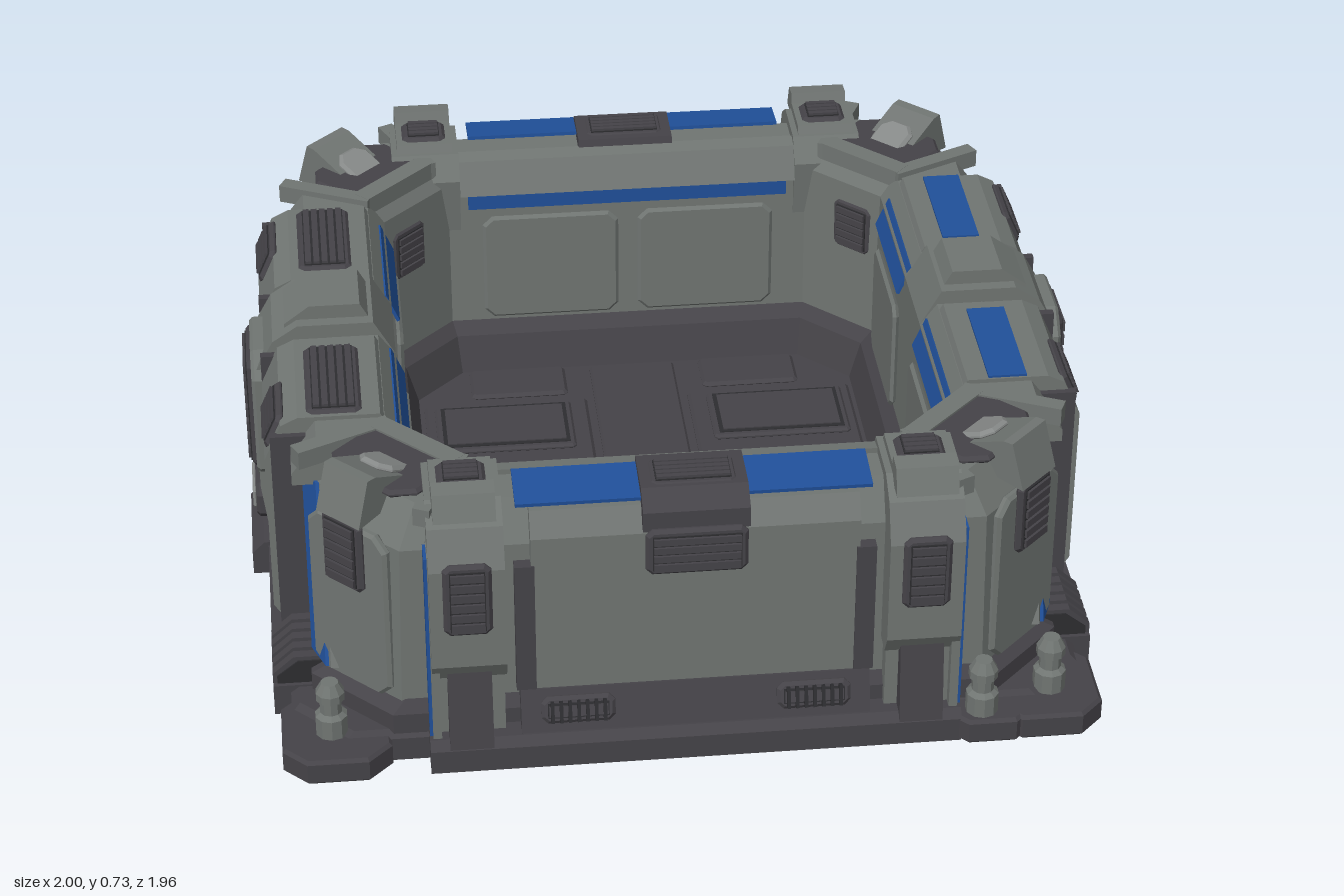
import * as THREE from 'three';

const mat = (name, color) => {
  const m = new THREE.MeshStandardMaterial({ color });
  m.name = name;
  return m;
};
const grey = mat('armour grey', 0x707572);
const pale = mat('worn light grey', 0x868988);
const dark = mat('dark metal', 0x454348);
const black = mat('recess black', 0x2d2d30);
const blue = mat('blue trim', 0x20509a);

function add(parent, name, geo, material, x = 0, y = 0, z = 0, rx = 0, ry = 0, rz = 0) {
  const m = new THREE.Mesh(geo, material);
  m.name = name;
  m.position.set(x, y, z);
  m.rotation.set(rx, ry, rz);
  parent.add(m);
  return m;
}
const box = (w, h, d) => new THREE.BoxGeometry(w, h, d);
const shape = pts => new THREE.Shape(pts.map(p => new THREE.Vector2(...p)));

// Cut-corner plate with sloped edges, from z = 0 to z = d
function plate(w, h, d, c, bevel = 0.008) {
  const a = w / 2 - bevel, b = h / 2 - bevel;
  const outline = shape([[a, -b + c], [a, b - c], [a - c, b], [-a + c, b], [-a, b - c], [-a, -b + c], [-a + c, -b], [a - c, -b]]);
  return new THREE.ExtrudeGeometry(outline,
    { depth: d - 2 * bevel, bevelEnabled: true, bevelSegments: 1, bevelSize: bevel, bevelThickness: bevel }).translate(0, 0, bevel);
}
// Profile of [z, y] points swept along x, centred
function sweep(pts, width) {
  return new THREE.ExtrudeGeometry(shape(pts), { depth: width, bevelEnabled: false }).translate(0, 0, -width / 2).rotateY(-Math.PI / 2);
}
// Octagonal rings [halfX, halfZ, cut, y] joined from first to last
function loft(rings) {
  const pos = [];
  const pts = rings.map(([a, b, c, y]) => [[a, b - c], [a, -b + c], [a - c, -b], [-a + c, -b], [-a, -b + c], [-a, b - c], [-a + c, b], [a - c, b]]
    .map(([x, z]) => [x, y, z]));
  for (let i = 0; i + 1 < pts.length; i++) {
    for (let j = 0; j < 8; j++) {
      const k = (j + 1) % 8;
      const A = pts[i][j], B = pts[i][k], C = pts[i + 1][k], D = pts[i + 1][j];
      pos.push(...A, ...B, ...C, ...A, ...C, ...D);
    }
  }
  const g = new THREE.BufferGeometry();
  g.setAttribute('position', new THREE.Float32BufferAttribute(pos, 3));
  g.computeVertexNormals();
  return g;
}
// Louvred vent facing +z
function vent(parent, name, w, h, n, x, y, z, rx = 0, ry = 0) {
  const g = new THREE.Group();
  g.name = name;
  g.position.set(x, y, z);
  g.rotation.set(rx, ry, 0);
  add(g, 'ventFrame', plate(w, h, 0.02, 0.01), dark);
  add(g, 'ventRecess', box(w - 0.03, h - 0.03, 0.006), black, 0, 0, 0.02);
  const step = (h - 0.03) / n;
  for (let i = 0; i < n; i++) add(g, 'louvre', box(w - 0.035, step * 0.72, 0.01), dark, 0, (i + 0.5) * step - (h - 0.03) / 2, 0.024);
  parent.add(g);
}

// Front or back wall, built facing +z
function endWall(blueZ, blueWidth) {
  const g = new THREE.Group();
  g.name = 'endWall';
  add(g, 'baseRail', sweep([[0.8, 0], [0.96, 0], [0.96, 0.06], [0.94, 0.08], [0.8, 0.08]], 1.22), dark);
  add(g, 'lowerStrip', sweep([[0.8, 0.08], [0.935, 0.08], [0.905, 0.18], [0.8, 0.18]], 0.8), dark);
  add(g, 'armourPanel', sweep([[0.8, 0.17], [0.9, 0.17], [0.9, 0.59], [0.865, 0.645], [0.8, 0.645]], 0.74), grey);
  add(g, 'topRail', sweep([[0.65, 0.58], [0.69, 0.66], [0.73, 0.668], [0.73, 0.6]], 0.86), grey);
  add(g, 'innerBlueStrip', box(0.82, 0.075, 0.008), blue, 0, 0.57, 0.67);
  add(g, 'topVentBridge', sweep([[0.71, 0.62], [0.73, 0.685], [0.86, 0.685], [0.91, 0.65], [0.91, 0.6]], 0.24), dark);
  vent(g, 'topVent', 0.2, 0.11, 5, 0, 0.668, 0.8, -Math.PI / 2);
  vent(g, 'faceVent', 0.23, 0.12, 4, 0, 0.55, 0.905);
  for (const s of [-1, 1]) {
    add(g, 'blueTopPlate', box(0.28, 0.009, blueWidth), blue, s * 0.26, 0.664, blueZ, 0.1);
    add(g, 'panelEdge', box(0.045, 0.34, 0.03), dark, s * 0.385, 0.35, 0.889);
    vent(g, 'baseVent', 0.17, 0.065, 1, s * 0.27, 0.13, 0.912, -0.29);
    for (let i = -3; i <= 3; i++) add(g, 'baseVentRib', box(0.008, 0.05, 0.012), black, s * 0.27 + i * 0.02, 0.138, 0.94, -0.29);
    for (const k of [-0.2, 0.2]) add(g, 'innerPanel', plate(0.35, 0.3, 0.016, 0.02), grey, k, 0.36, 0.675, 0, Math.PI);

    // Buttress with cap, vent and blue flank
    const x = s * 0.515;
    add(g, 'buttressLeg', sweep([[0.8, 0.05], [0.96, 0.05], [0.93, 0.27], [0.8, 0.27]], 0.1), dark, x);
    add(g, 'buttress', sweep([[0.7, 0.26], [0.92, 0.24], [0.95, 0.29], [0.95, 0.55], [0.91, 0.64], [0.85, 0.68], [0.7, 0.68], [0.66, 0.62]], 0.17), grey, x);
    add(g, 'buttressBack', box(0.16, 0.5, 0.12), grey, x, 0.32, 0.85);
    add(g, 'buttressCap', sweep([[0.7, 0.66], [0.72, 0.7], [0.84, 0.7], [0.85, 0.725], [0.895, 0.72], [0.92, 0.66]], 0.14), grey, x);
    vent(g, 'capVent', 0.11, 0.1, 4, x, 0.688, 0.785, -Math.PI / 2);
    vent(g, 'buttressVent', 0.11, 0.19, 6, x, 0.475, 0.94);
    add(g, 'blueFlank', box(0.008, 0.49, 0.06), blue, s * 0.605, 0.33, 0.9);
    add(g, 'flankFrame', box(0.02, 0.5, 0.1), grey, s * 0.592, 0.33, 0.885);
  }
  return g;
}

// Left or right wall, built facing +z
function sideWall(blueTop) {
  const g = new THREE.Group();
  g.name = 'sideWall';
  add(g, 'baseRail', box(1.4, 0.08, 0.16), dark, 0, 0.04, 0.88);
  add(g, 'baseStep', sweep([[0.85, 0], [1, 0], [1, 0.06], [0.97, 0.09], [0.85, 0.09]], 0.26), dark);
  add(g, 'lowerStrip', box(0.96, 0.06, 0.15), dark, 0, 0.1, 0.86);

  // Central pillar
  add(g, 'pillar', sweep([[0.66, 0.08], [0.95, 0.08], [0.97, 0.24], [0.97, 0.56], [0.92, 0.65], [0.86, 0.69], [0.68, 0.69], [0.63, 0.6], [0.62, 0.1]], 0.22), grey);
  add(g, 'pillarFrame', plate(0.26, 0.36, 0.065, 0.05), grey, 0, 0.43, 0.91);
  vent(g, 'pillarVent', 0.19, 0.3, 7, 0, 0.435, 0.965);
  add(g, 'hatchFrame', plate(0.17, 0.1, 0.03, 0.02), dark, 0, 0.17, 0.953);
  add(g, 'hatch', plate(0.13, 0.06, 0.009, 0.008, 0.003), pale, 0, 0.175, 0.982);
  add(g, 'pillarCap', sweep([[0.68, 0.67], [0.71, 0.725], [0.83, 0.725], [0.89, 0.68], [0.89, 0.65]], 0.16), grey);
  for (const s of [-1, 1]) {
    // Armour panels either side of the pillar
    add(g, 'armourPanel', sweep([[0.78, 0.12], [0.93, 0.12], [0.95, 0.15], [0.95, 0.56], [0.91, 0.65], [0.87, 0.67], [0.68, 0.67], [0.64, 0.6], [0.64, 0.5], [0.78, 0.5]], 0.34), grey, s * 0.305);
    add(g, 'panelSeam', box(0.02, 0.5, 0.06), dark, s * 0.132, 0.38, 0.92);
    add(g, 'panelEnd', box(0.02, 0.54, 0.1), dark, s * 0.48, 0.36, 0.885);
    vent(g, 'shoulderVent', 0.17, 0.095, 4, s * 0.37, 0.612, 0.915, -0.42);
    if (blueTop) add(g, 'blueTopPlate', box(0.3, 0.009, 0.09), blue, s * 0.32, 0.671, 0.775);
    else vent(g, 'topVent', 0.29, 0.13, 5, s * 0.32, 0.657, 0.785, -Math.PI / 2);
    add(g, 'innerBlueStrip', box(0.34, 0.08, 0.008), blue, s * 0.29, 0.585, 0.63, 0.4);
    add(g, 'innerPanel', plate(0.32, 0.3, 0.016, 0.02), grey, s * 0.27, 0.36, 0.62, 0, Math.PI);

    // Slanted blue stripe turned towards the corner, on a grey frame
    const slant = (a, b, d, z) => new THREE.ExtrudeGeometry(
      shape([[0.5 + a, 0.56], [0.5 + b, 0.56], [0.66 + b, 0.16], [0.66 + a, 0.16]].map(p => [s * p[0], p[1]])),
      { depth: d, bevelEnabled: false })
      .applyMatrix4(new THREE.Matrix4().set(1, 0, 0, 0, 0, 1, 0, 0, -0.4 * s, -0.16, 1, 0.29 + z, 0, 0, 0, 1));
    add(g, 'stripeFrame', slant(-0.015, 0.09, 0.04, 0.82), grey);
    add(g, 'blueStripe', slant(0.005, 0.08, 0.009, 0.859), blue);
    add(g, 'recess', box(0.16, 0.38, 0.02), dark, s * 0.56, 0.33, 0.822);
    add(g, 'shoulderLink', sweep([[0.68, 0.55], [0.89, 0.55], [0.89, 0.58], [0.83, 0.66], [0.68, 0.66]], 0.1), grey, s * 0.52);
    add(g, 'ribbedFoot', sweep([[0.8, 0.07], [0.95, 0.07], [0.95, 0.1], [0.9, 0.14], [0.8, 0.14]], 0.18), black, s * 0.6);
    for (let i = -2; i <= 2; i++) add(g, 'footRib', sweep([[0.8, 0.07], [0.96, 0.07], [0.96, 0.105], [0.91, 0.15], [0.8, 0.15]], 0.024), dark, s * 0.6 + i * 0.037);
  }
  return g;
}

// Corner tower details, built facing +z along the diagonal
function corner() {
  const g = new THREE.Group();
  g.name = 'corner';
  add(g, 'facetPanel', plate(0.24, 0.44, 0.025, 0.03), grey, 0, 0.36, 1.075);
  vent(g, 'cornerVent', 0.12, 0.19, 6, 0, 0.51, 1.095);
  add(g, 'cornerDeck', plate(0.26, 0.2, 0.02, 0.04), dark, 0, 0.65, 0.94, -Math.PI / 2);
  add(g, 'cornerHump', sweep([[0.88, 0.63], [1.06, 0.71], [1.085, 0.712], [1.12, 0.6]], 0.13), grey);
  add(g, 'cornerPlate', plate(0.1, 0.12, 0.02, 0.02), pale, 0, 0.66, 0.96, -Math.PI / 2 - 0.42);
  add(g, 'innerRim', box(0.24, 0.05, 0.05), grey, 0, 0.65, 0.85);
  for (const s of [-1, 1]) add(g, 'deckRim', box(0.04, 0.045, 0.24), grey, s * 0.15, 0.652, 0.94, 0, s * 0.35);
  vent(g, 'innerVent', 0.12, 0.14, 5, 0, 0.48, 0.82, 0, Math.PI);
  return g;
}

// Bolt post standing on a foot
const boltProfile = [[0.038, 0], [0.038, 0.05], [0.026, 0.06], [0.026, 0.09], [0.034, 0.095], [0.034, 0.115], [0.02, 0.14], [0, 0.14]]
  .map(p => new THREE.Vector2(...p));
function bolt(parent, x, z) {
  const geo = new THREE.LatheGeometry(boltProfile, 10).toNonIndexed();
  geo.computeVertexNormals();
  add(parent, 'boltPost', geo, grey, x, 0.065, z);
}

export function createModel() {
  const model = new THREE.Group();
  model.name = 'fortifiedEnclosure';

  // Base and ring wall
  add(model, 'base', loft([[0, 0, 0, 0], [0.92, 0.9, 0.12, 0], [0.92, 0.9, 0.12, 0.06], [0.9, 0.88, 0.12, 0.075], [0, 0, 0, 0.075]]), dark);
  add(model, 'ringWall', loft([[0.83, 0.87, 0.16, 0.06], [0.82, 0.87, 0.16, 0.56], [0.78, 0.82, 0.16, 0.655],
    [0.67, 0.7, 0.18, 0.655], [0.63, 0.68, 0.17, 0.6], [0.62, 0.67, 0.16, 0.2]]), grey);
  add(model, 'innerSkirt', loft([[0.62, 0.67, 0.16, 0.2], [0.59, 0.64, 0.14, 0.17], [0.56, 0.61, 0.12, 0.07]]), dark);
  add(model, 'cornerFootBand', loft([[0.87, 0.89, 0.18, 0.06], [0.87, 0.89, 0.18, 0.12], [0.82, 0.87, 0.16, 0.15]]), dark);

  // Floor plates and grip pads
  for (const sx of [-1, 1]) {
    add(model, 'floorPlate', plate(0.42, 0.9, 0.02, 0.01), dark, sx * 0.34, 0.07, 0, -Math.PI / 2);
    for (const sz of [-1, 1]) {
      add(model, 'padFrame', plate(0.35, 0.21, 0.016, 0.005, 0.006), dark, sx * 0.35, 0.086, sz * 0.31, -Math.PI / 2);
      add(model, 'padRecess', box(0.32, 0.004, 0.18), black, sx * 0.35, 0.102, sz * 0.31);
      add(model, 'gripPad', box(0.3, 0.006, 0.16), dark, sx * 0.35, 0.104, sz * 0.31);
      add(model, 'floorEdgePlate', plate(0.25, 0.13, 0.017, 0.005), dark, sx * 0.3, 0.07, sz * 0.54, -Math.PI / 2);

      // Corner feet, bolts and towers
      add(model, 'foot', plate(0.25, 0.27, 0.065, 0.05), dark, sx * 0.82, 0, sz * 0.84, -Math.PI / 2);
      bolt(model, sx * 0.83, sz * 0.86);
      const c = corner();
      c.rotation.y = Math.atan2(sx, sz);
      model.add(c);
    }
  }
  add(model, 'floorSpine', plate(0.22, 1.2, 0.016, 0.005, 0.006), dark, 0, 0.07, 0, -Math.PI / 2);
  add(model, 'footExtension', plate(0.2, 0.16, 0.065, 0.04), dark, 0.68, 0, 0.9, -Math.PI / 2);
  bolt(model, 0.66, 0.93);

  // Four walls
  const front = endWall(0.8, 0.125), back = endWall(0.845, 0.095);
  const left = sideWall(true), right = sideWall(false);
  back.rotation.y = Math.PI;
  left.rotation.y = Math.PI / 2;
  right.rotation.y = -Math.PI / 2;
  model.add(front, back, left, right);
  return model;
}
